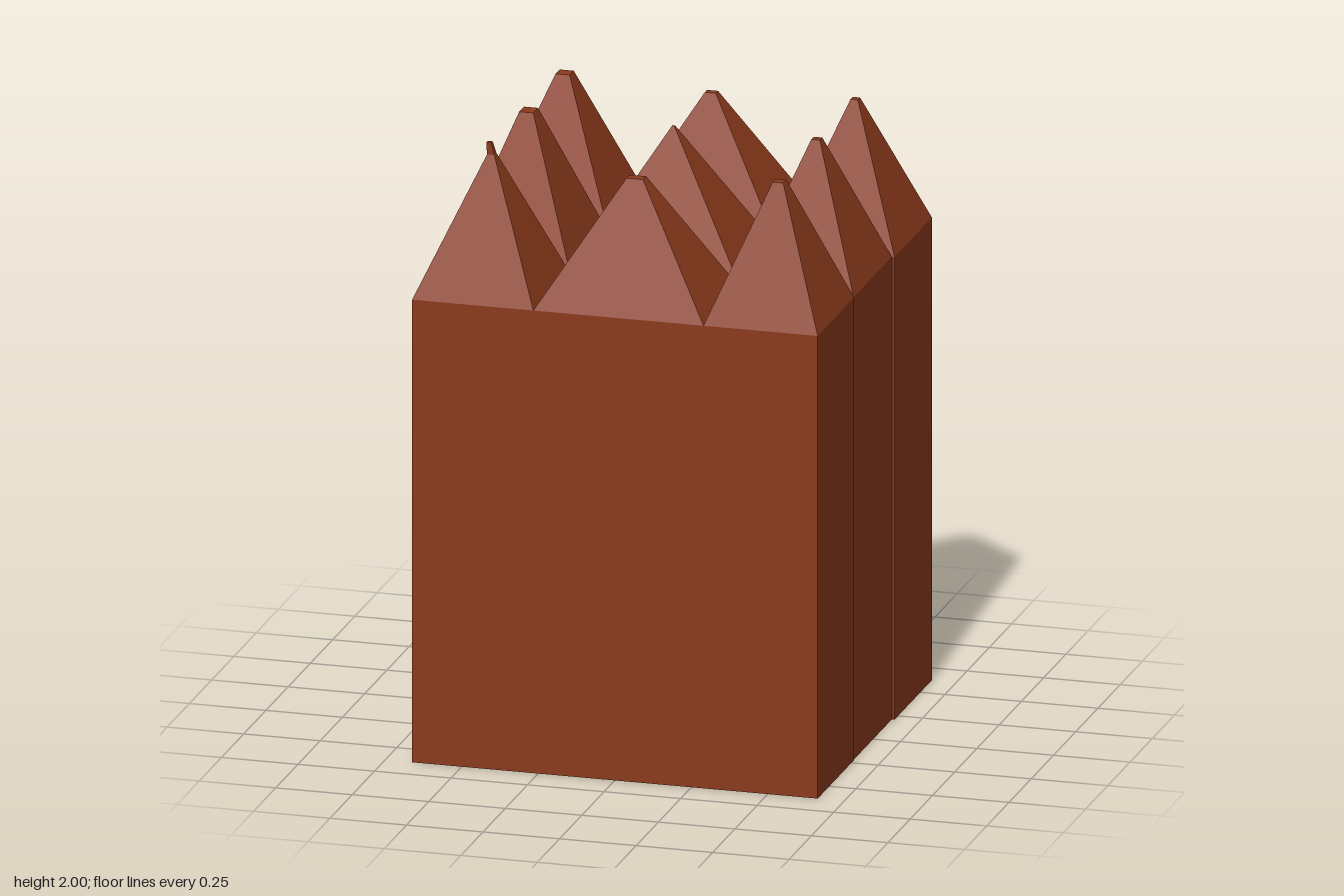
import * as THREE from 'three';

const SHOULDER = 1.525;
const columns = [-0.67, -0.266, 0.29, 0.67];
const rows = [-0.63, -0.21, 0.22, 0.63];
// outer side limits of each row, back to front
const leftEdge = [-0.672, -0.656, -0.662];
const rightEdge = [0.67, 0.661, 0.663];
// flat tip of each post: centre x, centre z, half width, half depth, height
const tips = [
  [[-0.47, -0.424, 0.023, 0.023, 1.965], [0.01, -0.422, 0.018, 0.013, 1.945], [0.48, -0.422, 0.012, 0.013, 1.965]],
  [[-0.463, 0.005, 0.023, 0.027, 1.975], [0.01, 0.004, 0.004, 0.004, 1.965], [0.478, 0.004, 0.014, 0.014, 1.965]],
  [[-0.462, 0.423, 0.012, 0.012, 1.96], [0.01, 0.422, 0.027, 0.018, 1.925], [0.478, 0.422, 0.017, 0.018, 1.955]],
];

// rectangular ring of four corners, counter-clockwise seen from above
const ring = (x0, x1, z0, z1, y) => [[x0, y, z1], [x1, y, z1], [x1, y, z0], [x0, y, z0]];
const tipRing = ([x, z, w, d, y]) => ring(x - w, x + w, z - d, z + d, y);

// closed solid joining a stack of rings from bottom to top
function loft(rings) {
  const pos = [];
  const quad = (a, b, c, d) => pos.push(...a, ...b, ...c, ...a, ...c, ...d);
  for (let k = 0; k < rings.length - 1; k++) {
    const lo = rings[k], hi = rings[k + 1];
    for (let i = 0; i < 4; i++) {
      const j = (i + 1) % 4;
      quad(lo[i], lo[j], hi[j], hi[i]);
    }
  }
  quad(...rings[rings.length - 1]);
  quad(...[...rings[0]].reverse());
  const geometry = new THREE.BufferGeometry();
  geometry.setAttribute('position', new THREE.Float32BufferAttribute(pos, 3));
  geometry.computeVertexNormals();
  return geometry;
}

export function createModel() {
  const group = new THREE.Group();
  group.name = 'stakeBlock';
  const wood = new THREE.MeshStandardMaterial({ color: 0x8b3a1c, flatShading: true });
  const rowNames = ['back', 'middle', 'front'];
  const columnNames = ['Right', 'Centre', 'Left'];

  for (let r = 0; r < 3; r++) {
    for (let c = 0; c < 3; c++) {
      const x0 = c === 0 ? leftEdge[r] : columns[c];
      const x1 = c === 2 ? rightEdge[r] : columns[c + 1];
      const rings = [
        ring(x0, x1, rows[r], rows[r + 1], 0),
        ring(x0, x1, rows[r], rows[r + 1], SHOULDER),
        tipRing(tips[r][c]),
      ];
      // one front post ends in a small extra splinter
      if (r === 2 && c === 0) rings.push(tipRing([-0.468, 0.427, 0.008, 0.008, 2]));
      const post = new THREE.Mesh(loft(rings), wood);
      post.name = `${rowNames[r]}${columnNames[c]}Stake`;
      group.add(post);
    }
  }
  return group;
}
